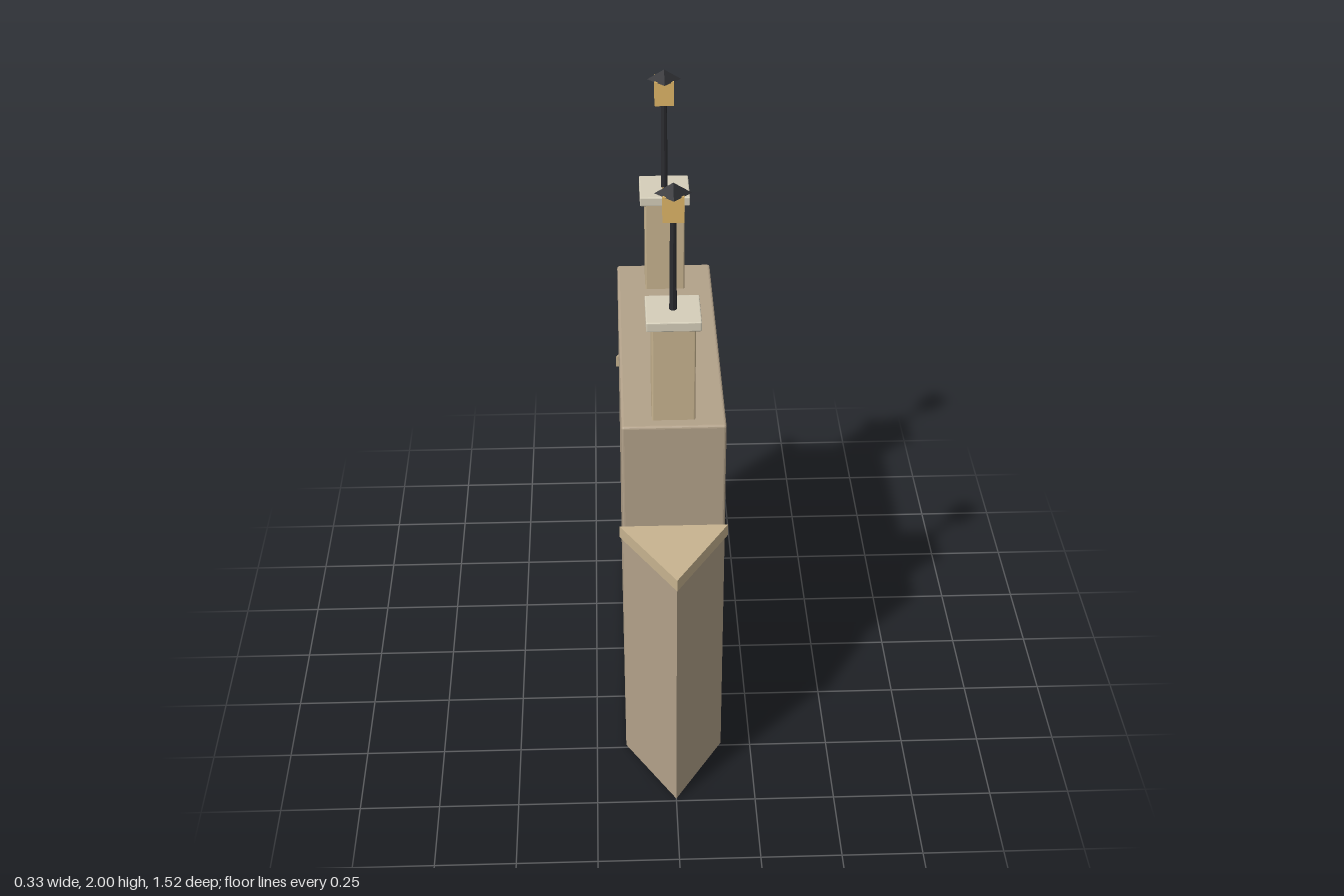
import * as THREE from 'three';
import { RoundedBoxGeometry } from 'three/addons/geometries/RoundedBoxGeometry.js';

const paint = (color) => new THREE.MeshStandardMaterial({ color, flatShading: true });
const stone = paint(0xb3a28a);
const trim = paint(0xc8b490);
const paleStone = paint(0xd6cfba);
const iron = paint(0x2b2c30);
const glow = paint(0xe0b768);

function add(parent, name, geometry, material, y = 0, z = 0) {
  const mesh = new THREE.Mesh(geometry, material);
  mesh.name = name;
  mesh.position.set(0, y, z);
  parent.add(mesh);
  return mesh;
}

// Block with slightly eased edges, standing on height y0
function block(parent, name, size, y0, y1, z, material, radius) {
  const geometry = new RoundedBoxGeometry(size[0], y1 - y0, size[1], 2, radius);
  return add(parent, name, geometry, material, (y0 + y1) / 2, z);
}

// Upright triangular prism pointing to +z
function wedge(halfWidth, zBase, zTip, height) {
  const shape = new THREE.Shape([
    new THREE.Vector2(-halfWidth, -zBase),
    new THREE.Vector2(0, -zTip),
    new THREE.Vector2(halfWidth, -zBase),
  ]);
  const geometry = new THREE.ExtrudeGeometry(shape, { depth: height, bevelEnabled: false });
  return geometry.rotateX(-Math.PI / 2);
}

// Everything at one end of the pier: cutwater, pillar and lamp
function createEnd(name) {
  const end = new THREE.Group();
  end.name = name;
  add(end, 'cutwater', wedge(0.155, 0.488, 0.74, 0.855), stone);
  add(end, 'cutwaterCap', wedge(0.165, 0.49, 0.76, 0.04), trim, 0.855);

  const z = 0.39;
  block(end, 'pillar', [0.128, 0.128], 1.25, 1.567, z, trim, 0.005);
  block(end, 'pillarCap', [0.16, 0.16], 1.566, 1.597, z, paleStone, 0.004);
  add(end, 'lampPost', new THREE.CylinderGeometry(0.009, 0.011, 0.3, 8), iron, 1.745, z);
  add(end, 'lantern', new THREE.BoxGeometry(0.06, 0.08, 0.06), glow, 1.93, z);
  add(end, 'lanternRoof', new THREE.ConeGeometry(0.053, 0.032, 4), iron, 1.984, z);
  return end;
}

export function createModel() {
  const model = new THREE.Group();
  model.name = 'bridgePier';
  block(model, 'pierBody', [0.31, 0.98], 0, 1.255, 0, stone, 0.008);

  const front = createEnd('frontEnd');
  const back = createEnd('backEnd');
  back.rotation.y = Math.PI;
  model.add(front, back);
  return model;
}
